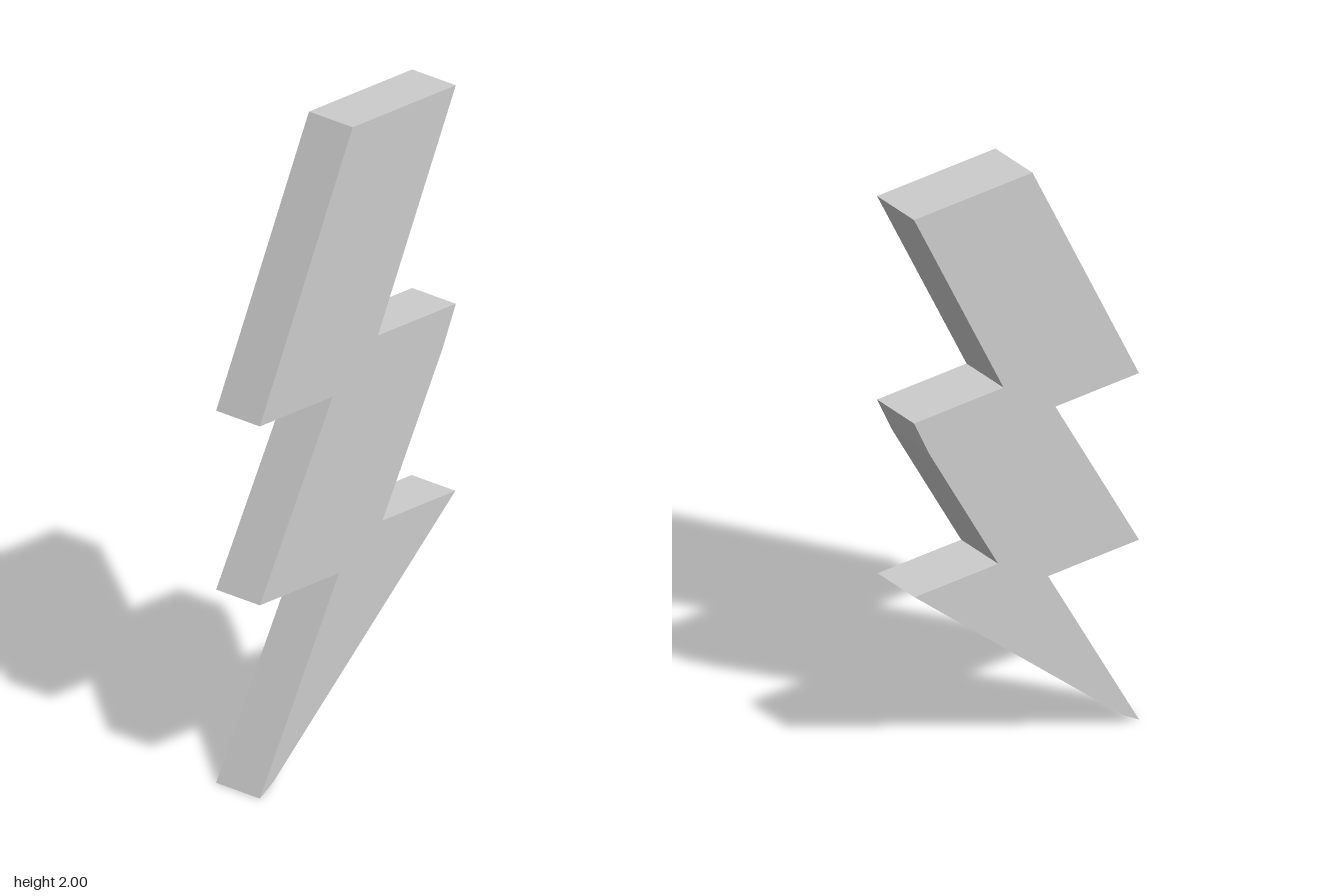
import * as THREE from 'three';

export function createModel() {
  const group = new THREE.Group();
  const thickness = 0.175;

  // Zigzag side outline: [distance towards the back, height]
  const outline = [
    [-0.417, 0], [-0.36, 0.035], [0.415, 0.72], [0.105, 0.72],
    [0.36, 1.185], [0.417, 1.31], [0.085, 1.31], [0.417, 2],
    [-0.022, 2], [-0.417, 1.175], [-0.107, 1.175],
    [-0.417, 0.61], [-0.08, 0.61],
  ];
  const shape = new THREE.Shape(outline.map(([u, y]) => new THREE.Vector2(u, y)));

  // Flat slab, centred on its thickness and turned so the outline faces sideways
  const geometry = new THREE.ExtrudeGeometry(shape, { depth: thickness, bevelEnabled: false });
  geometry.translate(0, 0, -thickness / 2);
  geometry.rotateY(Math.PI / 2);

  const bolt = new THREE.Mesh(
    geometry,
    new THREE.MeshStandardMaterial({ color: 0xcccccc, flatShading: true })
  );
  bolt.name = 'lightningBolt';
  group.add(bolt);
  return group;
}
